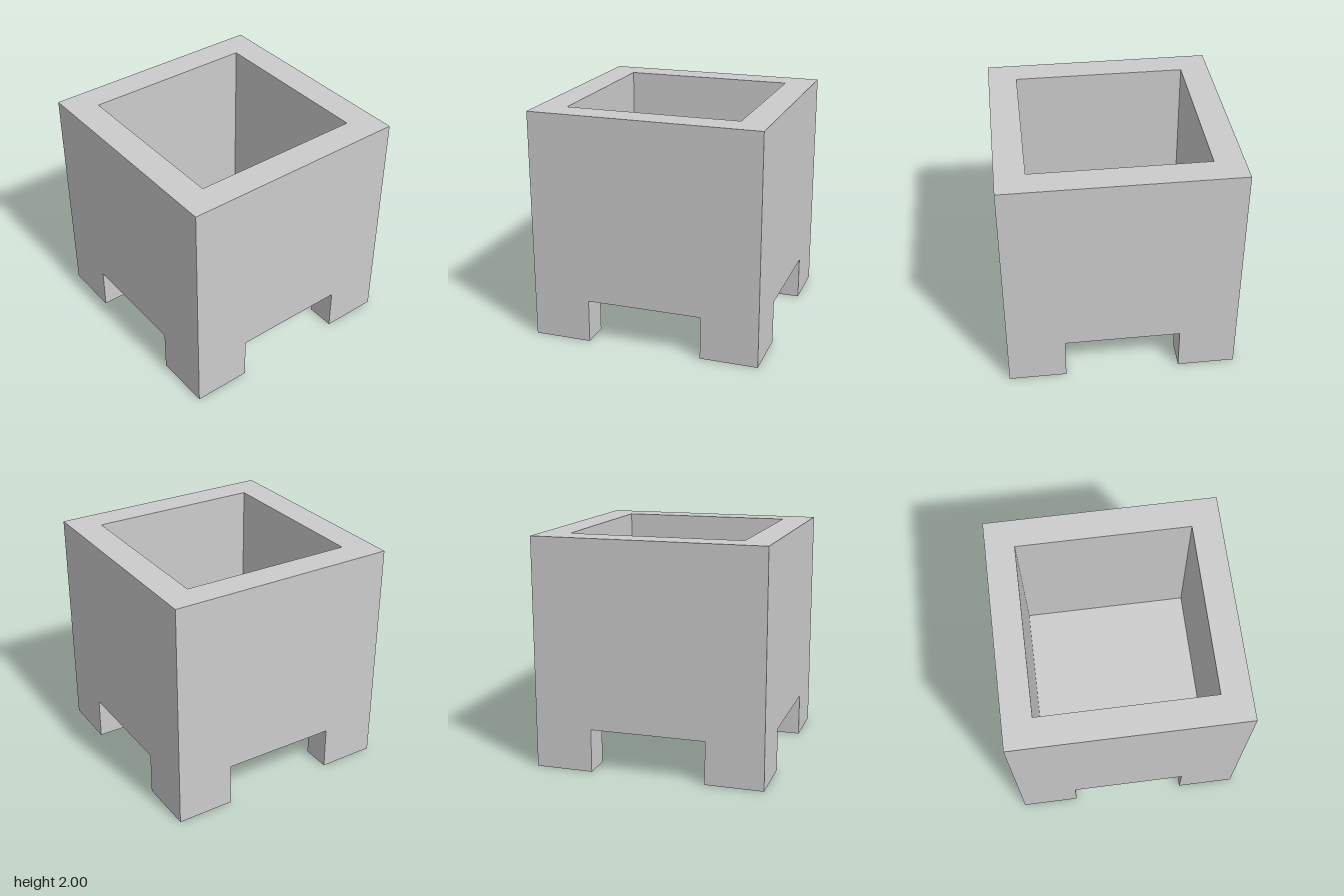
import * as THREE from 'three';

const LEG_HEIGHT = 0.375;
const WALL = 0.25;
const FLOOR = 0.125;

// Extrudes a plan outline upwards from y = 0
function extrudeUp(shape, height) {
  const geometry = new THREE.ExtrudeGeometry(shape, { depth: height, bevelEnabled: false });
  return geometry.rotateX(-Math.PI / 2);
}

function polygon(points) {
  return points.map(([x, y]) => new THREE.Vector2(x, y));
}

function square(half) {
  return polygon([[-half, -half], [half, -half], [half, half], [-half, half]]);
}

export function createModel() {
  const model = new THREE.Group();
  model.name = 'cauldron';
  const material = new THREE.MeshStandardMaterial({ color: 0xcccccc, flatShading: true });

  function add(name, geometry, y) {
    const mesh = new THREE.Mesh(geometry, material);
    mesh.name = name;
    mesh.position.y = y;
    model.add(mesh);
    return mesh;
  }

  // Square wall ring, open at the top
  const ring = new THREE.Shape(square(1));
  ring.holes.push(new THREE.Path(square(1 - WALL)));
  add('walls', extrudeUp(ring, 2 - LEG_HEIGHT), LEG_HEIGHT);

  // Basin floor between the walls
  const inner = 2 * (1 - WALL);
  add('floor', new THREE.BoxGeometry(inner, FLOOR, inner), LEG_HEIGHT + FLOOR / 2);

  // L-shaped legs wrapping the four corners
  const legPlan = new THREE.Shape(polygon([
    [1, 1], [0.5, 1], [0.5, 1 - WALL], [1 - WALL, 1 - WALL], [1 - WALL, 0.5], [1, 0.5],
  ]));
  const legGeometry = extrudeUp(legPlan, LEG_HEIGHT);
  const legNames = ['backLeftLeg', 'backRightLeg', 'frontRightLeg', 'frontLeftLeg'];
  legNames.forEach((name, i) => {
    add(name, legGeometry, 0).rotation.y = i * Math.PI / 2;
  });

  return model;
}
